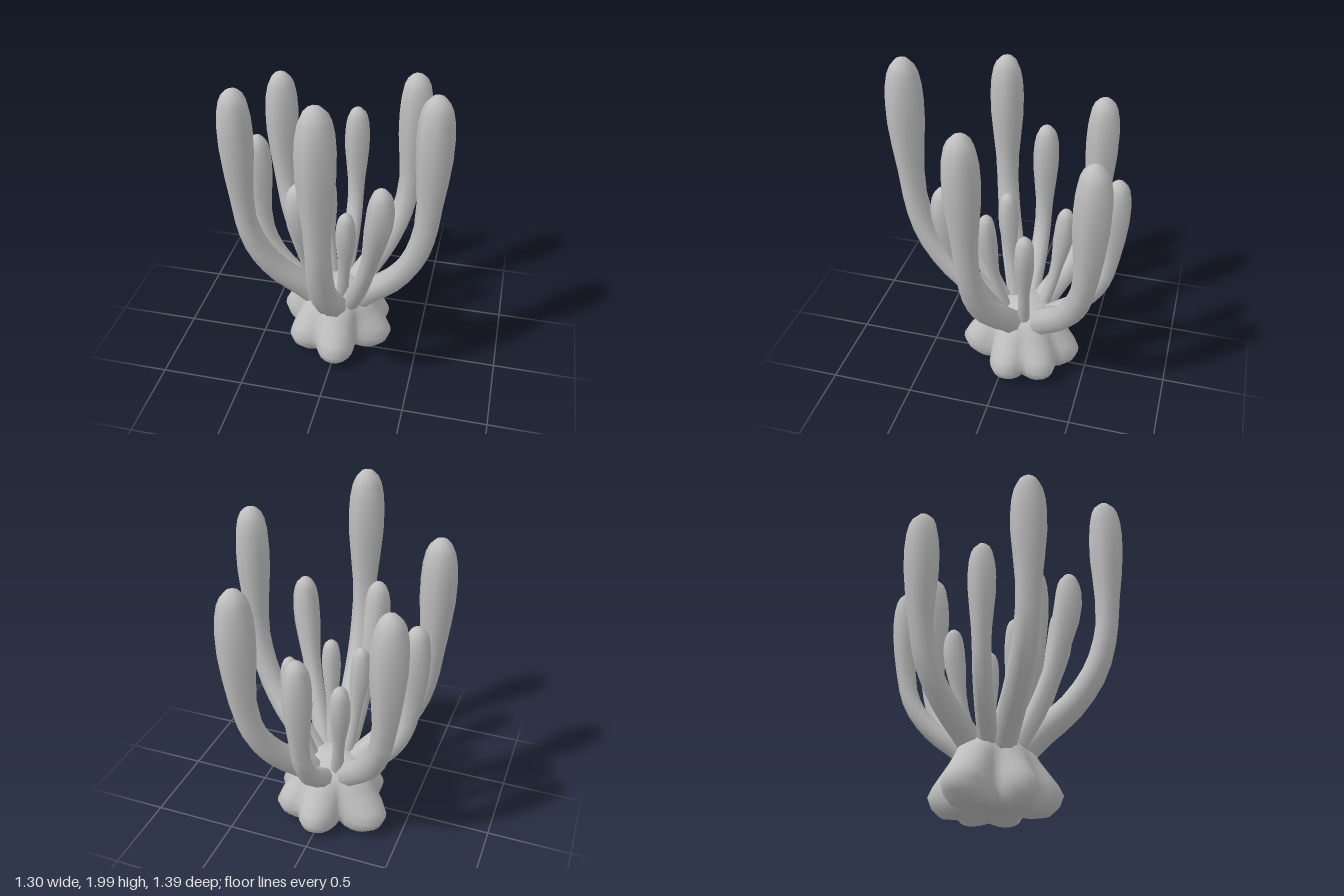
import * as THREE from 'three';
import { mergeVertices } from 'three/addons/utils/BufferGeometryUtils.js';

const CENTRE = new THREE.Vector3(-0.025, 0, -0.09);

// Smooth closed skin over a list of rings, each ring an array of Vector3
function loft(rings) {
  const n = rings[0].length;
  const index = [];
  for (let i = 0; i < rings.length - 1; i++) {
    for (let j = 0; j < n; j++) {
      const a = i * n + j, b = i * n + (j + 1) % n;
      index.push(a, b, a + n, b, b + n, a + n);
    }
  }
  const geometry = new THREE.BufferGeometry().setFromPoints(rings.flat());
  geometry.setIndex(index);
  const merged = mergeVertices(geometry, 1e-5);
  merged.computeVertexNormals();
  return merged;
}

// Share of the sideways reach [height share, reach share] along a stalk
const TALL_BEND = [[0, 0.06], [0.125, 0.37], [0.22, 0.64], [0.34, 0.85], [0.47, 0.955], [0.62, 0.99], [0.8, 1], [1, 1]];
const MEDIUM_BEND = [[0, 0.12], [0.15, 0.36], [0.32, 0.59], [0.48, 0.75], [0.65, 0.88], [0.83, 0.98], [1, 1]];
const SMALL_BEND = [[0, 0.3], [0.18, 0.5], [0.41, 0.74], [0.65, 0.9], [0.85, 0.99], [1, 1]];

// Bulb shoulder [distance below the tip, share from neck to full radius] and rounded tip [distance, radius]
const SHOULDER = [[8, 0], [6.5, 0.14], [5, 0.58], [3.6, 0.96]];
const TIP = [[2.4, 1], [1.5, 0.94], [0.8, 0.8], [0.4, 0.62], [0.1, 0.33], [0, 0]];

// Stalk that leaves the base sideways, bends upright and ends in a bulb
function stalkGeometry(x, z, height, radius, bend, neck) {
  const foot = 0.25;
  const dx = x - CENTRE.x, dz = z - CENTRE.z;
  const path = new THREE.CatmullRomCurve3(bend.map(([t, f]) =>
    new THREE.Vector3(CENTRE.x + dx * f, foot + (height - foot) * t, CENTRE.z + dz * f)));
  const length = path.getLength();
  const bulbStart = 1 - 8 * radius / length;
  const stations = [];
  for (let i = 0; i < 10; i++) {
    const s = i / 10;
    stations.push([bulbStart * s, radius * (neck + 0.13 * (1 - s))]);
  }
  const bulb = [...SHOULDER.map(([d, s]) => [d, neck + (1 - neck) * s]), ...TIP];
  bulb.forEach(([d, r]) => stations.push([1 - d * radius / length, r * radius]));
  const side = new THREE.Vector3(-dz, 0, dx).normalize();
  const rings = stations.map(([u, r]) => {
    const p = path.getPointAt(u);
    const across = path.getTangentAt(u).cross(side);
    return Array.from({ length: 8 }, (_, k) => {
      const a = (k + 0.5) / 8 * Math.PI * 2;
      return p.clone().addScaledVector(side, r * Math.cos(a)).addScaledVector(across, r * Math.sin(a));
    });
  });
  return loft(rings);
}

// Base lobes [angle in degrees from +x towards +z, reach]
const LOBES = [[82, 0.385], [136, 0.34], [205, 0.41], [275, 0.365], [324, 0.36], [370, 0.36]];

// Base rows [height, share of the lobe reach, depth of the notches, lift of the notches]
const BASE_ROWS = [
  [0.05, 0, 0, 0], [0.045, 0.4, 0.1, 0], [0.012, 0.6, 0.25, 0.03], [0.022, 0.8, 0.38, 0.035], [0.07, 0.94, 0.44, 0.02],
  [0.13, 1, 0.45, 0], [0.19, 0.92, 0.39, 0], [0.25, 0.8, 0.29, 0], [0.31, 0.68, 0.17, 0], [0.36, 0.6, 0.11, 0],
  [0.4, 0.49, 0.06, 0], [0.435, 0.31, 0.03, 0], [0.45, 0.14, 0, 0], [0.453, 0, 0, 0],
];

function baseGeometry() {
  const steps = 60;
  const rings = BASE_ROWS.map(([y, share, notch, lift]) => Array.from({ length: steps }, (_, k) => {
    const deg = 360 - k / steps * 360;
    let bump = 0, reach = 0, weight = 0;
    for (const [angle, size] of LOBES) {
      const off = Math.abs(((deg - angle + 540) % 360 + 360) % 360 - 180);
      bump = Math.max(bump, Math.cos(Math.PI / 2 * Math.min(1, off / 36)));
      const w = Math.exp(-((off / 25) ** 2));
      reach += size * w;
      weight += w;
    }
    const r = reach / weight * share * (1 - notch * (1 - bump));
    const a = THREE.MathUtils.degToRad(deg);
    return new THREE.Vector3(CENTRE.x + r * Math.cos(a), y + lift * (1 - bump), CENTRE.z + r * Math.sin(a));
  }));
  return loft(rings);
}

// Stalks [tip x, tip z, height, bulb radius]
const TALL = [
  [0.02, 0.59, 2.0, 0.107], [0.545, 0.1, 1.88, 0.103], [-0.545, 0.16, 1.83, 0.103],
  [0.355, -0.54, 1.7, 0.107], [-0.46, -0.45, 1.67, 0.103],
];
const OUTER_MEDIUM = [[-0.02, -0.62, 1.4, 0.08], [-0.51, -0.1, 1.42, 0.08]];
const FRONT_MEDIUM = [[0.3, 0.29, 1.4, 0.08], [-0.14, 0.36, 1.41, 0.08]];
const SMALL = [
  [0.225, -0.15, 1.1, 0.061], [0.07, 0.12, 1.1, 0.06], [-0.145, 0.045, 1.13, 0.061], [-0.145, -0.31, 1.08, 0.061],
];

export function createModel() {
  const model = new THREE.Group();
  model.name = 'coral';
  const grey = new THREE.MeshStandardMaterial({ color: 0xc0c0c0 });
  grey.name = 'coral grey';

  const add = (name, geometry) => {
    const mesh = new THREE.Mesh(geometry, grey);
    mesh.name = name;
    model.add(mesh);
  };
  const addStalks = (name, list, bend, neck) => list.forEach(([x, z, height, radius], i) =>
    add(name + (i + 1), stalkGeometry(x, z, height, radius, bend, neck)));

  add('lobedBase', baseGeometry());
  addStalks('tallStalk', TALL, TALL_BEND, 0.67);
  addStalks('outerMediumStalk', OUTER_MEDIUM, TALL_BEND, 0.66);
  addStalks('frontMediumStalk', FRONT_MEDIUM, MEDIUM_BEND, 0.66);
  addStalks('smallStalk', SMALL, SMALL_BEND, 0.58);
  return model;
}
